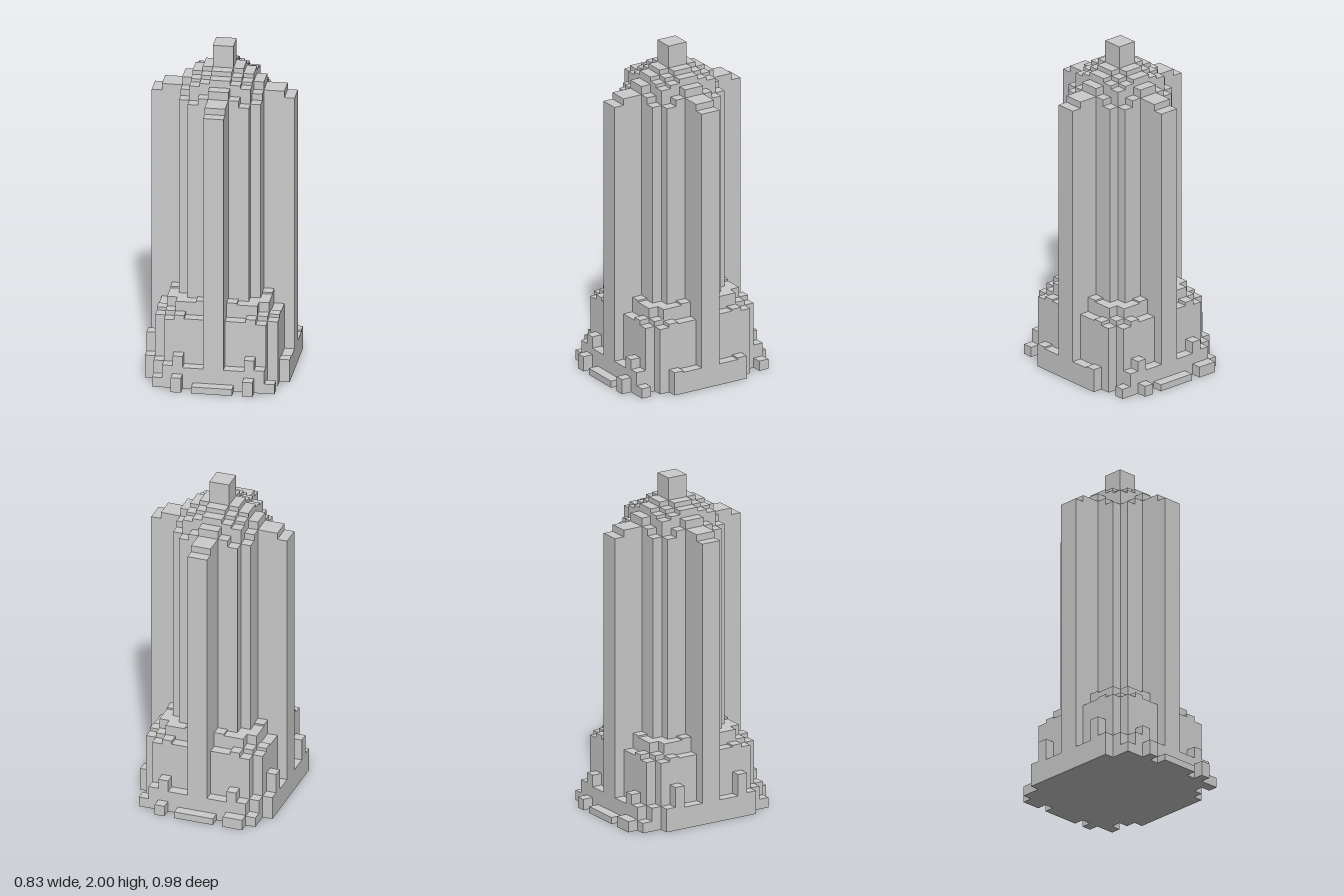
import * as THREE from 'three';

// Block grid: 14 columns in x, 16 rows in z
const NX = 14, NZ = 16, DX = 0.0593, DZ = 0.0612;

// Heights for one quarter, rows go outward in z, entries outward in x
const TOWER = [
  [1.865, 1.865, 1.835, 1.79, 1.74, 1.74, 1.70],
  [1.865, 1.835, 1.81, 1.74],
  [1.835, 1.81, 1.79, 1.70],
  [1.79, 1.74, 1.70],
  [1.74], [1.74], [1.70],
];
const TERRACES = [
  [],
  [0, 0, 0, 0, 0.50, 0.41, 0.13],
  [0, 0, 0, 0, 0.49, 0.41, 0.13],
  [0, 0, 0, 0.49, 0.49, 0.42, 0.14],
  [0, 0.50, 0.49, 0.49, 0.43, 0.40],
  [0, 0.41, 0.41, 0.43, 0.40],
  [0, 0.13, 0.13, 0.20, 0.14, 0.06],
  [0.04, 0.04, 0, 0.09],
];

const fold = (n, count) => (n >= count / 2 ? n - count / 2 : count / 2 - 1 - n);

function quarter(table, ix, iz) {
  if (ix < 0 || iz < 0 || ix >= NX || iz >= NZ) return 0;
  const row = table[fold(iz, NZ)];
  return (row && row[fold(ix, NX)]) || 0;
}

// Terraces break symmetry slightly on the right side and at the back
function terraceHeight(ix, iz) {
  if (ix < 0 || iz < 0 || ix >= NX || iz >= NZ) return 0;
  const i = fold(ix, NX), k = fold(iz, NZ);
  if (ix < NX / 2) {
    if (i === 6 && k === 3) return 0.26;
    if (i === 6 && k === 4) return 0.14;
    if (i === 5 && k === 5) return 0.14;
    if (i === 4 && iz === 0) return 0.065;
  }
  const h = quarter(TERRACES, ix, iz);
  return iz === 0 ? Math.min(h, 0.065) : h;
}

// Stepped solid showing only the outer faces of its blocks
function blockGeometry(height) {
  const pos = [];
  const quad = (a, b, c, d) => pos.push(...a, ...b, ...c, ...a, ...c, ...d);
  for (let ix = 0; ix < NX; ix++) {
    for (let iz = 0; iz < NZ; iz++) {
      const h = height(ix, iz);
      if (!h) continue;
      const x0 = (ix - NX / 2) * DX, x1 = x0 + DX;
      const z0 = (iz - NZ / 2) * DZ, z1 = z0 + DZ;
      quad([x0, h, z1], [x1, h, z1], [x1, h, z0], [x0, h, z0]);
      quad([x0, 0, z0], [x1, 0, z0], [x1, 0, z1], [x0, 0, z1]);
      // Side walls rise from the neighbour's top
      const wall = (n, ax, az, bx, bz) => {
        if (n < h) quad([ax, n, az], [bx, n, bz], [bx, h, bz], [ax, h, az]);
      };
      wall(height(ix, iz + 1), x0, z1, x1, z1);
      wall(height(ix + 1, iz), x1, z1, x1, z0);
      wall(height(ix, iz - 1), x1, z0, x0, z0);
      wall(height(ix - 1, iz), x0, z0, x0, z1);
    }
  }
  const g = new THREE.BufferGeometry();
  g.setAttribute('position', new THREE.Float32BufferAttribute(pos, 3));
  g.computeVertexNormals();
  return g;
}

export function createModel() {
  const group = new THREE.Group();
  const material = new THREE.MeshStandardMaterial({ color: 0xcccccc, flatShading: true });
  const add = (name, geometry) => {
    const mesh = new THREE.Mesh(geometry, material);
    mesh.name = name;
    group.add(mesh);
    return mesh;
  };

  // Cross-shaped shaft with stepped crown
  add('towerShaft', blockGeometry((ix, iz) => quarter(TOWER, ix, iz)));

  // Lower terraces filling the corners, with small blocks at the foot
  add('baseTerraces', blockGeometry(terraceHeight));

  // Square block on top of the crown
  const top = add('topBlock', new THREE.BoxGeometry(2 * DX, 0.135, 2 * DZ));
  top.position.y = 2 - 0.0675;

  return group;
}
